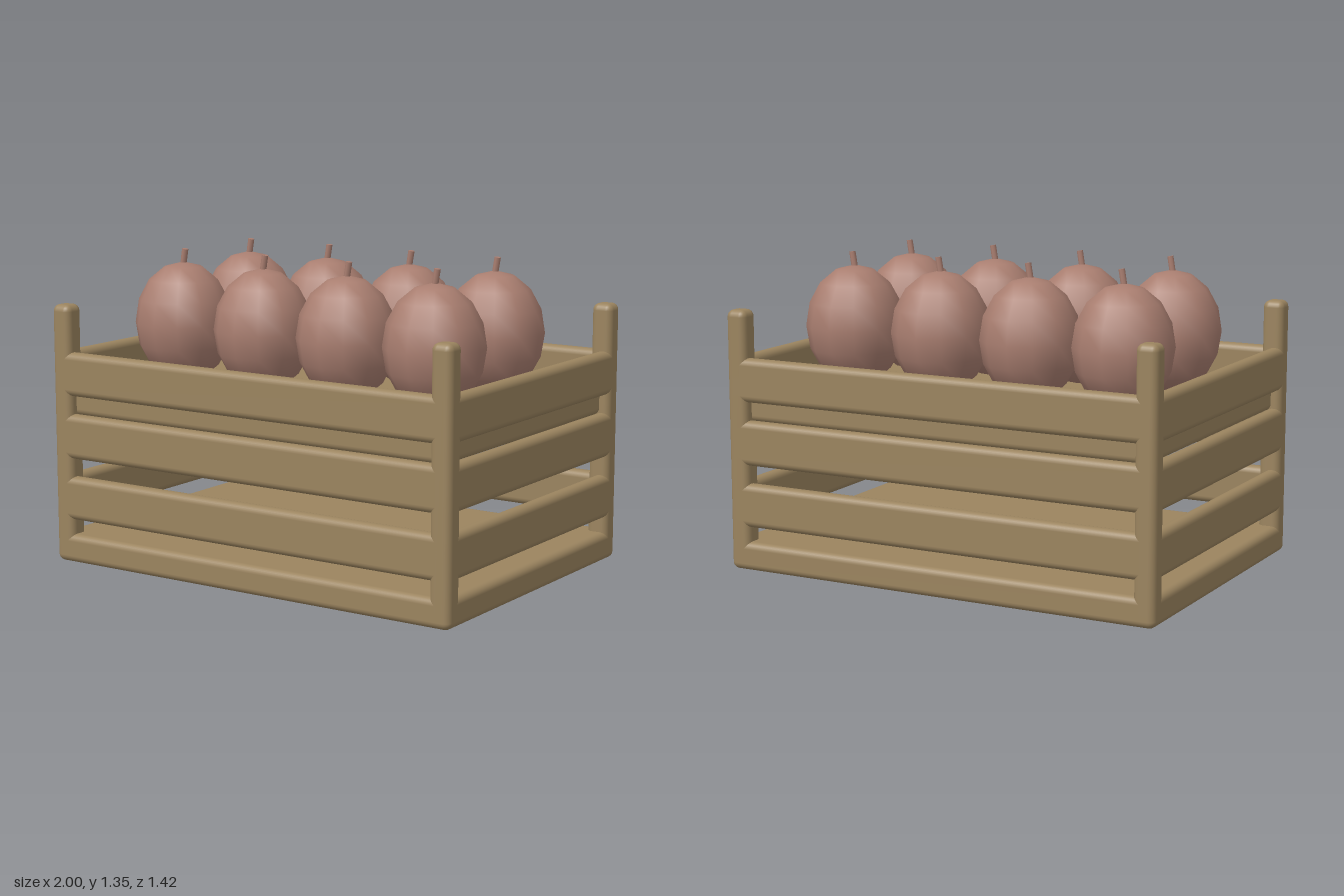
import * as THREE from 'three';
import { RoundedBoxGeometry } from 'three/addons/geometries/RoundedBoxGeometry.js';

const HX = 1, HZ = 0.71, POST = 0.095, SLAT = 0.068, BEVEL = 0.03;

export function createModel() {
  const model = new THREE.Group();
  model.name = 'fruitCrate';
  const wood = new THREE.MeshStandardMaterial({ color: 0x9b845f });
  wood.name = 'wood';
  const skin = new THREE.MeshStandardMaterial({ color: 0xa97e70 });
  skin.name = 'fruitSkin';

  // Rounded wooden piece between two heights
  function board(name, w, d, y0, y1, x = 0, z = 0, bevel = BEVEL) {
    const mesh = new THREE.Mesh(new RoundedBoxGeometry(w, y1 - y0, d, 3, bevel), wood);
    mesh.name = name;
    mesh.position.set(x, (y0 + y1) / 2, z);
    model.add(mesh);
  }

  // Floor of the crate and the raised shelf that carries the fruit
  board('base', 2 * HX, 2 * HZ, 0, 0.125);
  board('shelf', 2 * HX - 0.09, 2 * HZ - 0.09, 0.645, 0.77);

  // Corner posts
  for (const sx of [-1, 1]) for (const sz of [-1, 1]) {
    board('cornerPost', POST, POST, 0, 1.13, sx * (HX - POST / 2), sz * (HZ - POST / 2));
  }

  // Three rows of slats around all four sides
  for (const [y0, y1] of [[0.19, 0.38], [0.46, 0.655], [0.735, 0.925]]) {
    for (const s of [-1, 1]) {
      board(s > 0 ? 'frontSlat' : 'backSlat', 2 * HX, SLAT, y0, y1, 0, s * (HZ - SLAT / 2));
      board(s > 0 ? 'leftSlat' : 'rightSlat', SLAT, 2 * HZ, y0, y1, s * (HX - SLAT / 2), 0);
    }
  }

  // Two rows of four egg-shaped fruits with short leaning stems
  const bodyGeometry = new THREE.SphereGeometry(1, 12, 8).scale(0.214, 0.265, 0.214);
  const stemGeometry = new THREE.CylinderGeometry(0.014, 0.014, 0.09, 8);
  for (let col = 0; col < 4; col++) {
    for (const z of [-0.243, 0.243]) {
      const fruit = new THREE.Group();
      fruit.name = 'fruit';
      fruit.position.set((col - 1.5) * 0.428, 1.027, z);
      const body = new THREE.Mesh(bodyGeometry, skin);
      body.name = 'fruitBody';
      const stem = new THREE.Mesh(stemGeometry, skin);
      stem.name = 'stem';
      stem.position.set(0.004, 0.277, 0);
      stem.rotation.z = -0.17;
      fruit.add(body, stem);
      model.add(fruit);
    }
  }
  return model;
}
